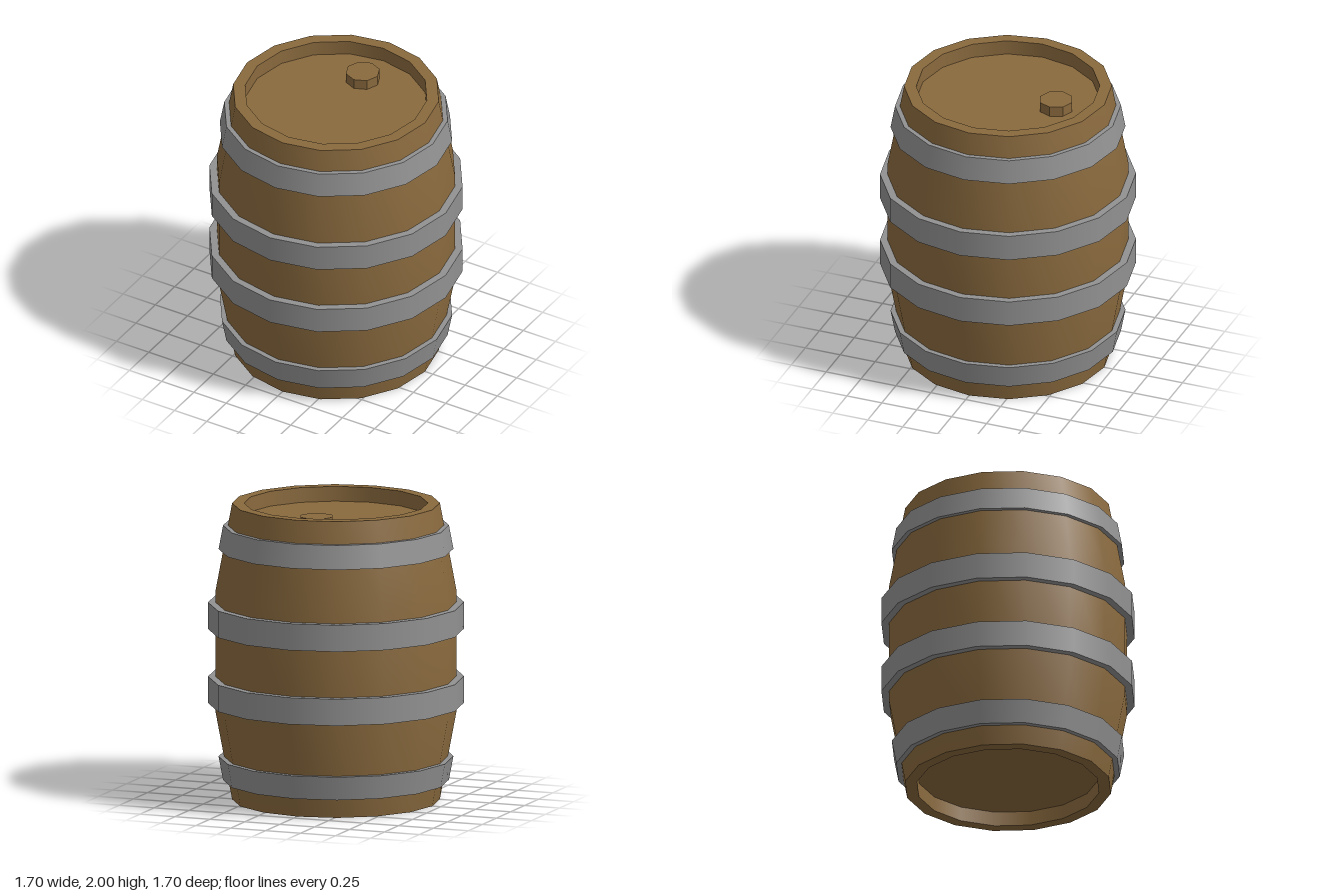
import * as THREE from 'three';
import { mergeGeometries } from 'three/addons/utils/BufferGeometryUtils.js';

const SIDES = 16;

// Lathe each run of [radius, y] points separately so edges between runs stay sharp
function turned(...runs) {
  return mergeGeometries(runs.map(run =>
    new THREE.LatheGeometry(run.map(([r, y]) => new THREE.Vector2(r, y)), SIDES)));
}

// Closed ring with sloping outer wall
function hoopGeometry(y0, y1, r0, r1, thickness) {
  const a = [r0, y0], b = [r1, y1], c = [r1 - thickness, y1], d = [r0 - thickness, y0];
  return turned([a, b], [b, c], [c, d], [d, a]);
}

export function createModel() {
  const wood = new THREE.MeshStandardMaterial({ color: 0x8a6a3e });
  wood.name = 'wood';
  const iron = new THREE.MeshStandardMaterial({ color: 0x919191 });
  iron.name = 'iron';

  const barrel = new THREE.Group();
  barrel.name = 'barrel';
  const add = (name, geometry, material) => {
    const mesh = new THREE.Mesh(geometry, material);
    mesh.name = name;
    barrel.add(mesh);
    return mesh;
  };

  // Bulging wall with a raised rim at each end
  add('staves', turned(
    [[0.61, 0], [0.69, 0]],
    [[0.69, 0], [0.8, 0.59], [0.8, 1.41], [0.69, 2]],
    [[0.69, 2], [0.61, 2]],
    [[0.61, 2], [0.61, 1.9]],
    [[0.61, 0.1], [0.61, 0]],
  ), wood);

  // Recessed ends
  add('topHead', turned([[0.61, 1.9], [0, 1.9]]), wood);
  add('bottomHead', turned([[0, 0.1], [0.61, 0.1]]), wood);

  // Stopper near the back of the lid
  const bungGeometry = new THREE.CylinderGeometry(0.115, 0.115, 0.07, 8).toNonIndexed();
  bungGeometry.computeVertexNormals();
  add('bung', bungGeometry, wood).position.set(0, 1.935, -0.345);

  // Metal hoops: tapered at the ends, straight around the middle
  add('bottomHoop', hoopGeometry(0.13, 0.29, 0.75, 0.78, 0.05), iron);
  add('lowerMiddleHoop', hoopGeometry(0.65, 0.83, 0.85, 0.85, 0.06), iron);
  add('upperMiddleHoop', hoopGeometry(1.15, 1.33, 0.85, 0.85, 0.06), iron);
  add('topHoop', hoopGeometry(1.69, 1.85, 0.78, 0.75, 0.05), iron);

  return barrel;
}
